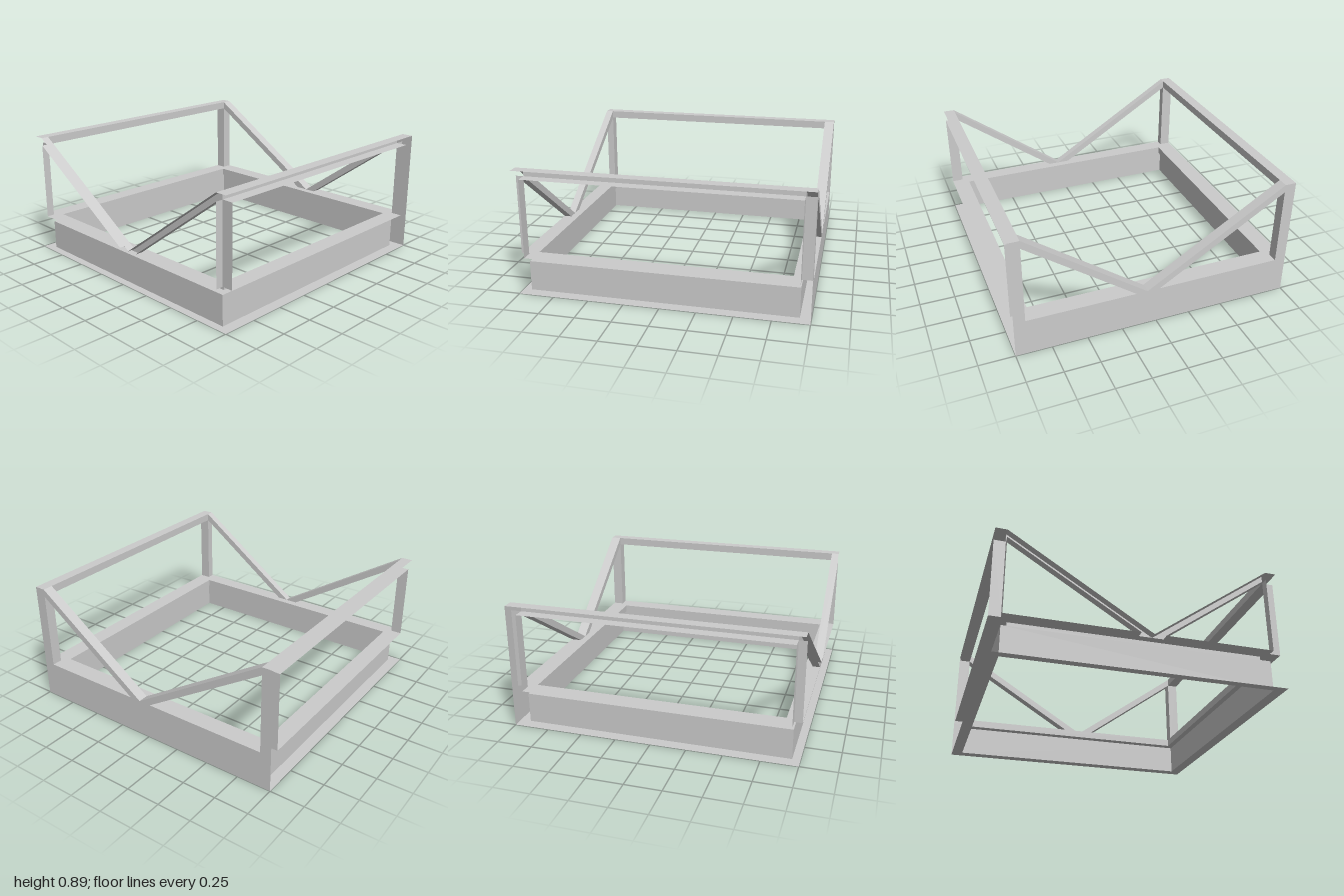
import * as THREE from 'three';

const material = new THREE.MeshStandardMaterial({ color: 0xcccccc, side: THREE.DoubleSide });

// Plan limits: left/right wall faces, lip faces, and depth limits
const WALL = { x0: -0.945, x1: 0.925, z: 0.92 };
const LIP = { x0: -0.89, x1: 0.87, z: 0.875 };
const STEP = 0.215, DECK = 0.27, BEAM = 0.83, TOP = 0.887;
const VALLEY = 0.07; // where the two sloping braces meet

// Mesh made of flat quads, each given as four corners
function panels(name, quads) {
  const pos = [];
  for (const [a, b, c, d] of quads) pos.push(...a, ...b, ...c, ...a, ...c, ...d);
  const geo = new THREE.BufferGeometry();
  geo.setAttribute('position', new THREE.Float32BufferAttribute(pos, 3));
  geo.computeVertexNormals();
  const mesh = new THREE.Mesh(geo, material);
  mesh.name = name;
  return mesh;
}

// Horizontal, facing up or down
function flat(x0, x1, z0, z1, y, up = true) {
  const q = [[x0, y, z1], [x1, y, z1], [x1, y, z0], [x0, y, z0]];
  return up ? q : q.reverse();
}

// Upright, facing +z (dir 1) or -z (dir -1)
function uprightZ(x0, x1, y0, y1, z, dir) {
  const q = [[x0, y0, z], [x1, y0, z], [x1, y1, z], [x0, y1, z]];
  return dir > 0 ? q : q.reverse();
}

// Upright in the zy plane; points are [z, y]
function uprightX(points, x, dir) {
  const q = points.map(([z, y]) => [x, y, z]);
  const [a, b, c] = points;
  const turn = (b[0] - a[0]) * (c[1] - b[1]) - (b[1] - a[1]) * (c[0] - b[0]);
  return turn * dir < 0 ? q : q.reverse();
}

const rect = (z0, z1, y0, y1) => [[z0, y0], [z1, y0], [z1, y1], [z0, y1]];

// Inward-facing ring of four walls
function innerWalls(r, y0, y1) {
  return [
    uprightZ(r.x0, r.x1, y0, y1, r.z, -1),
    uprightZ(r.x0, r.x1, y0, y1, -r.z, 1),
    uprightX(rect(-r.z, r.z, y0, y1), r.x0, 1),
    uprightX(rect(-r.z, r.z, y0, y1), r.x1, -1),
  ];
}

// Flat ring between an outer and an inner rectangle
function ring(o, i, y, up) {
  return [
    flat(o.x0, o.x1, i.z, o.z, y, up),
    flat(o.x0, o.x1, -o.z, -i.z, y, up),
    flat(o.x0, i.x0, -i.z, i.z, y, up),
    flat(i.x1, o.x1, -i.z, i.z, y, up),
  ];
}

export function createModel() {
  const group = new THREE.Group();
  group.name = 'frame';
  const outer = { x0: -1, x1: 1, z: 1 };

  // Base: bottom rim, inner walls, stepped lip and top deck
  group.add(panels('baseBottom', ring(outer, WALL, 0, false)));
  group.add(panels('baseInnerWalls', innerWalls(WALL, 0, STEP)));
  group.add(panels('lipUnderside', ring(WALL, LIP, STEP, false)));
  group.add(panels('lipInnerFaces', innerWalls(LIP, STEP, DECK)));
  const deck = ring(WALL, LIP, DECK, true);
  for (const s of [-1, 1]) {
    const [z0, z1] = s > 0 ? [WALL.z, 1] : [-1, -WALL.z];
    deck.push(flat(WALL.x0, WALL.x1, z0, z1, DECK));
  }
  const feet = [-0.02, 0.15];
  for (const [x0, x1] of [[-1, WALL.x0], [WALL.x1, 1]]) {
    deck.push(flat(x0, x1, -WALL.z, feet[0], DECK), flat(x0, x1, feet[1], WALL.z, DECK));
  }
  group.add(panels('baseDeck', deck));
  group.add(panels('baseRightFace', [uprightX(rect(-1, 1, 0, DECK), 1, 1)]));

  // Front and back: beam, two posts and two sloping braces
  for (const s of [1, -1]) {
    const end = s > 0 ? 'front' : 'back';
    const w = s * WALL.z, o = s, foot = s > 0 ? feet[1] : feet[0];
    const zs = [Math.min(w, o), Math.max(w, o)];
    group.add(panels(end + 'Beam', [
      flat(-1, 1, ...zs, TOP),
      flat(WALL.x0, WALL.x1, ...zs, BEAM, false),
      uprightZ(WALL.x0, WALL.x1, BEAM, TOP, w, -s),
      uprightX(rect(...zs, BEAM, TOP), 1, 1),
    ]));

    const brace = [[w, BEAM], [foot, DECK], [VALLEY, DECK], [w, TOP]];
    for (const [side, x0, x1, inner, dir] of [
      ['Left', -1, WALL.x0, WALL.x0, 1],
      ['Right', WALL.x1, 1, WALL.x1, -1],
    ]) {
      const post = [
        uprightZ(x0, x1, DECK, BEAM, w, -s),
        uprightX(rect(...zs, DECK, BEAM), inner, dir),
      ];
      const top = [[x0, TOP, w], [x1, TOP, w], [x1, DECK, VALLEY], [x0, DECK, VALLEY]];
      const under = [[x0, BEAM, w], [x0, DECK, foot], [x1, DECK, foot], [x1, BEAM, w]];
      const slope = [
        s > 0 ? top : top.reverse(),
        s > 0 ? under.reverse() : under,
        uprightX(brace, inner, dir),
      ];
      // Only the right side has a closed outer skin
      if (side === 'Right') {
        post.push(uprightX(rect(...zs, DECK, BEAM), 1, 1));
        slope.push(uprightX(brace, 1, 1));
      }
      group.add(panels(end + side + 'Post', post));
      group.add(panels(end + side + 'Brace', slope));
    }
  }
  return group;
}
